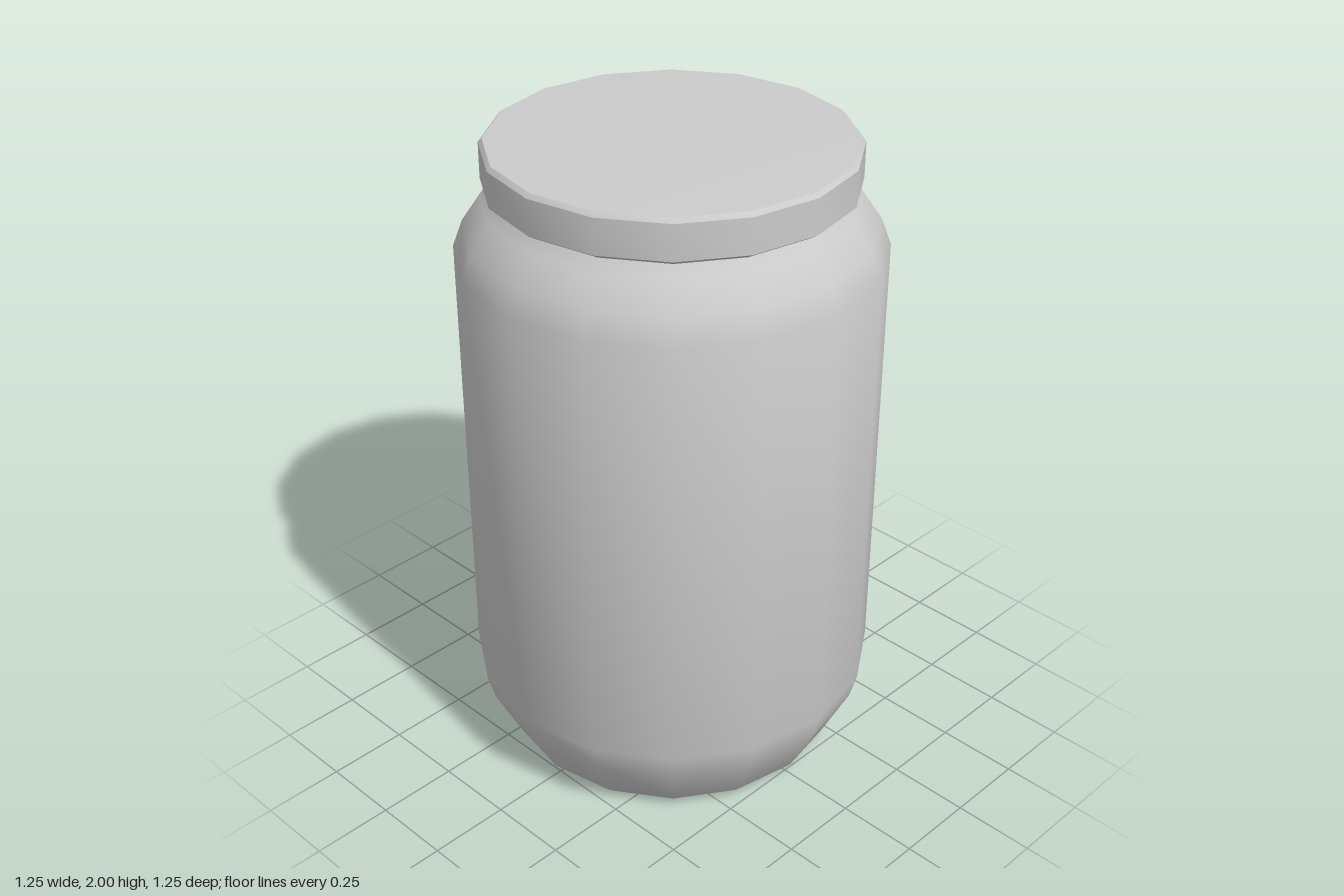
import * as THREE from 'three';
import { toCreasedNormals } from 'three/addons/utils/BufferGeometryUtils.js';

const SIDES = 16;

// Revolve a [radius, height] profile, listed bottom to top
function turned(name, profile) {
  const points = profile.map(([r, y]) => new THREE.Vector2(r, y));
  const geometry = toCreasedNormals(new THREE.LatheGeometry(points, SIDES), 0.62);
  const mesh = new THREE.Mesh(geometry, new THREE.MeshStandardMaterial({ color: 0xcccccc }));
  mesh.name = name;
  return mesh;
}

export function createModel() {
  const jar = new THREE.Group();
  jar.name = 'jar';

  // Body: flat base, tapered foot, straight wall, sloping shoulder and neck
  jar.add(turned('body', [
    [0, 0], [0.475, 0], [0.5, 0.015], [0.52, 0.035],
    [0.603, 0.2], [0.625, 0.28],
    [0.625, 1.66], [0.595, 1.74], [0.54, 1.82], [0.505, 1.855], [0.49, 1.89],
  ]));

  // Lid: rolled-in lower edge, straight rim, small bevel, barely domed top
  jar.add(turned('lid', [
    [0.48, 1.85], [0.51, 1.85], [0.538, 1.868],
    [0.538, 1.975], [0.527, 1.988], [0, 2],
  ]));

  return jar;
}
